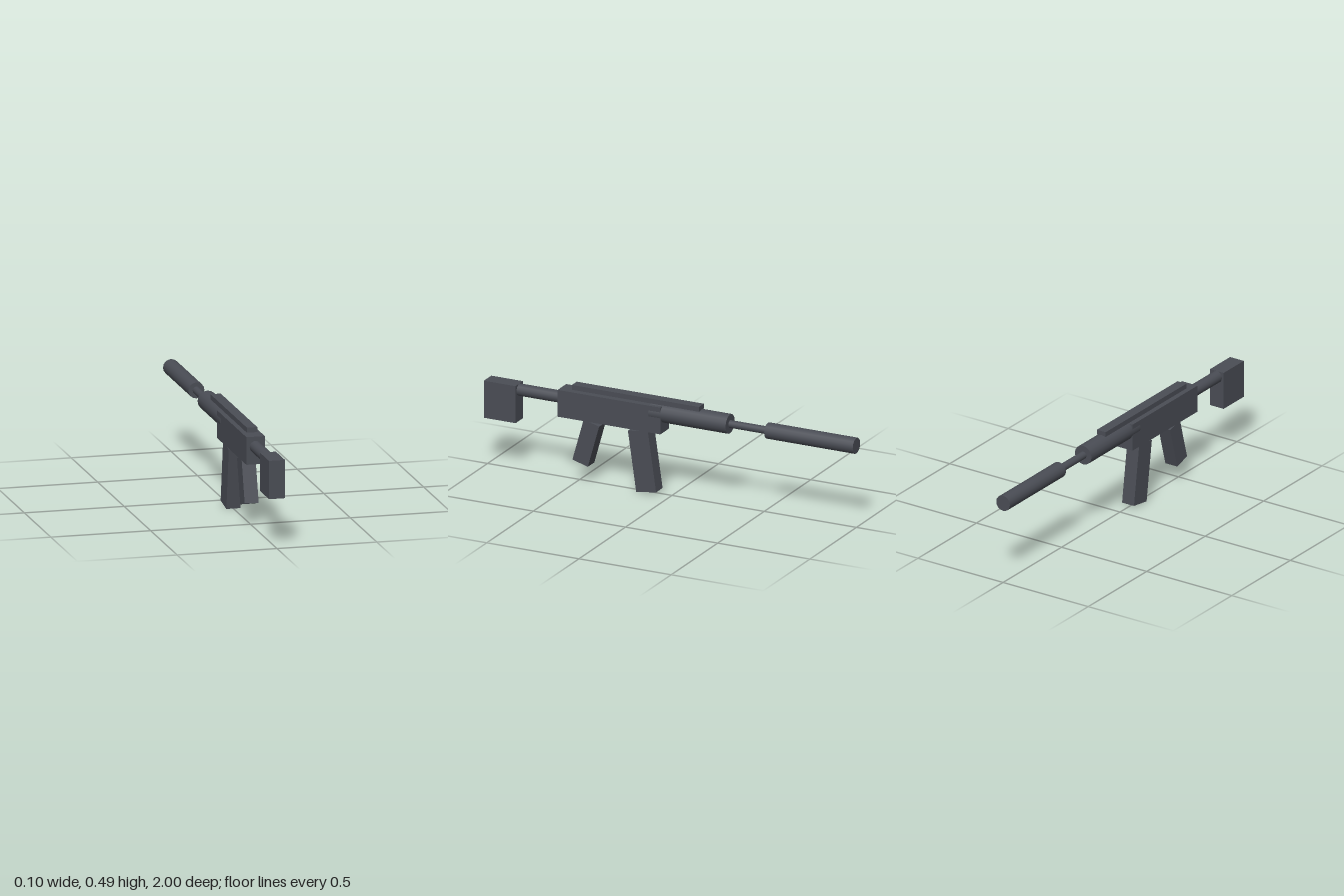
import * as THREE from 'three';

export function createModel() {
  const model = new THREE.Group();
  const gunmetal = new THREE.MeshStandardMaterial({ color: 0x4a4d55 });
  gunmetal.name = 'gunmetal';

  function add(name, geometry, y, z, tilt = 0) {
    const mesh = new THREE.Mesh(geometry, gunmetal);
    mesh.name = name;
    mesh.position.set(0, y, z);
    mesh.rotation.x = tilt;
    model.add(mesh);
  }

  // Upright block given by its width and its y and z limits
  const block = (name, width, y0, y1, z0, z1) =>
    add(name, new THREE.BoxGeometry(width, y1 - y0, z1 - z0), (y0 + y1) / 2, (z0 + z1) / 2);

  // Round bar lying along z
  const bar = (name, radius, y, z0, z1) =>
    add(name, new THREE.CylinderGeometry(radius, radius, z1 - z0, 16).rotateX(Math.PI / 2), y, (z0 + z1) / 2);

  // Body, sight rail and shoulder block
  block('receiver', 0.092, 0.323, 0.461, 0.04, 0.597);
  block('topRail', 0.052, 0.466, 0.491, -0.16, 0.53);
  block('stock', 0.08, 0.249, 0.44, 0.828, 1);

  // Round sections along the length
  bar('stockTube', 0.03, 0.41, 0.55, 0.85);
  bar('handguard', 0.049, 0.421, -0.315, 0.105);
  bar('barrel', 0.019, 0.421, -0.55, -0.25);
  bar('muzzleTube', 0.04, 0.421, -1, -0.52);

  // Slanted parts underneath
  add('magazine', new THREE.BoxGeometry(0.07, 0.312, 0.109), 0.1625, 0.145, 0.145);
  add('grip', new THREE.BoxGeometry(0.07, 0.225, 0.087), 0.207, 0.45, -0.275);

  return model;
}
